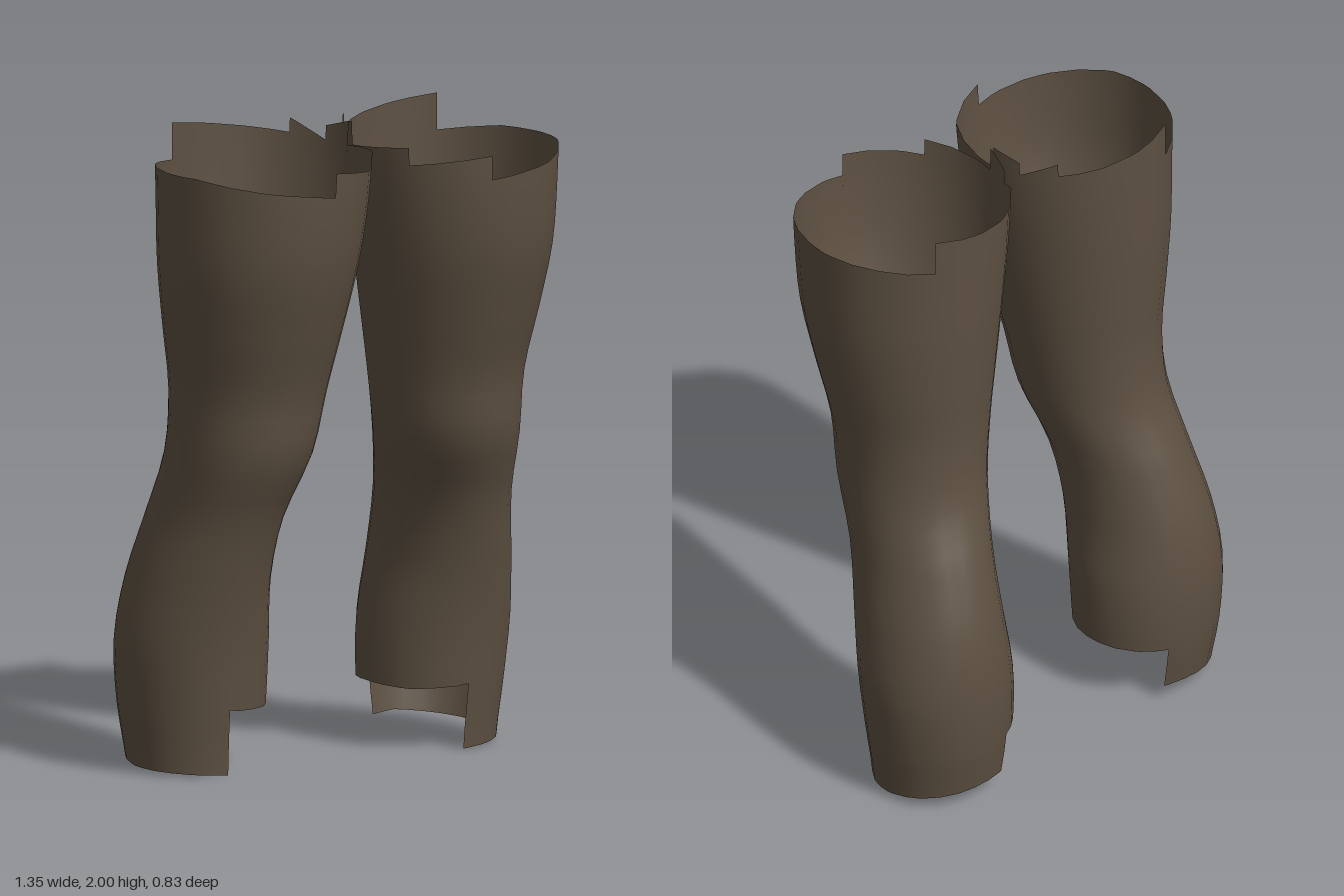
import * as THREE from 'three';

// Leg outline at eleven evenly spaced heights from y = 0 to y = 2
const pairs = (a, b) => new THREE.SplineCurve(a.map((v, i) => new THREE.Vector2(v, b[i])));
const sideProfile = pairs( // inner x, outer x
  [0.215, 0.2, 0.2, 0.22, 0.21, 0.155, 0.117, 0.08, 0.045, 0.017, 0.003],
  [0.635, 0.662, 0.675, 0.65, 0.612, 0.595, 0.598, 0.63, 0.658, 0.667, 0.672]);
const depthProfile = pairs( // front z, back z
  [0.015, 0.035, 0.06, 0.1, 0.155, 0.238, 0.27, 0.33, 0.385, 0.41, 0.418],
  [-0.38, -0.41, -0.415, -0.387, -0.325, -0.25, -0.23, -0.238, -0.247, -0.252, -0.255]);

// Stepped edges: runs of [angle, height]; 90 = front, 0 = outer, -90 = back, -180 = inner
const topEdge = [
  [[100, 1.845], [60, 1.872], [20, 1.905], [-30, 1.905], [-65, 1.885]],
  [[-65, 2.0], [-136, 1.945]],
  [[-136, 1.99], [-157, 1.93]],
  [[-157, 1.975], [-173, 2.0]],
  [[-173, 1.925], [-215, 1.945]],
  [[-215, 1.89], [-260, 1.92]],
];
const bottomEdge = [
  [[100, 0.2], [90, 0.205]],
  [[90, 0.0], [0, 0.02], [-90, 0.06], [-114, 0.055]],
  [[-114, 0.2], [-180, 0.205], [-225, 0.193], [-260, 0.2]],
];

// Height of an edge at an angle, taken from the run that contains mid
function edgeHeight(edge, angle, mid) {
  const run = edge.find(r => mid <= r[0][0] && mid >= r[r.length - 1][0]);
  const i = run.findIndex((k, n) => n > 0 && mid >= k[0]);
  const [a0, y0] = run[i - 1], [a1, y1] = run[i];
  return THREE.MathUtils.mapLinear(angle, a0, a1, y0, y1);
}

// Point on the smooth leg surface
function surface(angle, y) {
  const t = THREE.MathUtils.clamp(y / 2, 0, 1), r = THREE.MathUtils.degToRad(angle);
  const s = sideProfile.getPoint(t), d = depthProfile.getPoint(t);
  return new THREE.Vector3(
    (s.x + s.y) / 2 + (s.y - s.x) / 2 * Math.cos(r), y,
    (d.x + d.y) / 2 + (d.x - d.y) / 2 * Math.sin(r));
}

function surfaceNormal(angle, y) {
  const m = THREE.MathUtils.clamp(y, 0.04, 1.96);
  const around = surface(angle - 2, m).sub(surface(angle + 2, m));
  const up = surface(angle, m + 0.03).sub(surface(angle, m - 0.03));
  return up.cross(around).normalize();
}

function legGeometry(side) {
  const position = [], normal = [], index = [], rows = 30;
  // Column borders: regular spacing plus every corner of the edges
  const angles = new Set([...topEdge, ...bottomEdge].flat().map(k => k[0]));
  for (let a = 100; a >= -260; a -= 15) angles.add(a);
  const cols = [...angles].sort((a, b) => b - a);

  for (let c = 0; c < cols.length - 1; c++) {
    const mid = (cols[c] + cols[c + 1]) / 2, base = position.length / 3;
    for (let r = 0; r <= rows; r++) {
      for (const a of [cols[c], cols[c + 1]]) {
        // Trim the shared height grid to the stepped edges
        const y = THREE.MathUtils.clamp(2 * r / rows,
          edgeHeight(bottomEdge, a, mid), edgeHeight(topEdge, a, mid));
        const p = surface(a, y), n = surfaceNormal(a, y);
        position.push(p.x * side, p.y, p.z);
        normal.push(n.x * side, n.y, n.z);
      }
    }
    const height = i => position[i * 3 + 1];
    for (let r = 0; r < rows; r++) {
      const a = base + r * 2, b = a + 1, d = a + 2, e = a + 3;
      const tris = [];
      if (height(e) > height(b)) tris.push([a, b, e]);
      if (height(d) > height(a)) tris.push([a, e, d]);
      for (const [i, j, k] of tris) index.push(i, ...(side > 0 ? [j, k] : [k, j]));
    }
  }
  const g = new THREE.BufferGeometry();
  g.setAttribute('position', new THREE.Float32BufferAttribute(position, 3));
  g.setAttribute('normal', new THREE.Float32BufferAttribute(normal, 3));
  g.setIndex(index);
  return g;
}

export function createModel() {
  const cloth = new THREE.MeshStandardMaterial({ color: 0x5d5041, side: THREE.DoubleSide });
  cloth.name = 'brown cloth';
  const model = new THREE.Group();
  model.name = 'trouserLegs';
  for (const [name, side] of [['leftLeg', 1], ['rightLeg', -1]]) {
    const leg = new THREE.Mesh(legGeometry(side), cloth);
    leg.name = name;
    model.add(leg);
  }
  return model;
}
